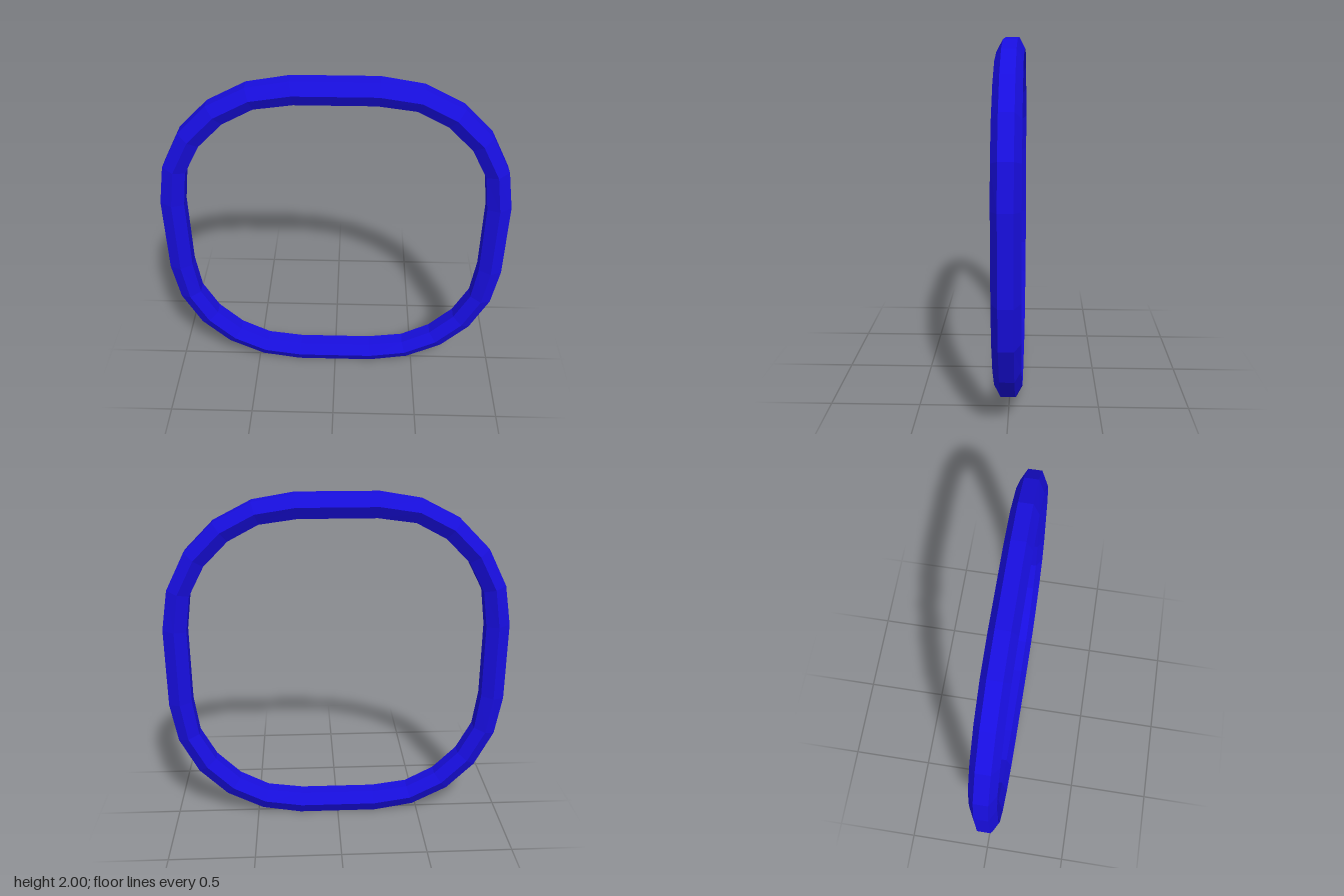
import * as THREE from 'three';

// Corner outlines of one quarter, from the right side round to the top
const OUTER = [[1, 0.235], [0.96, 0.47], [0.85, 0.685], [0.685, 0.85], [0.47, 0.96], [0.235, 1]];
const INNER = [[0.865, 0.22], [0.836, 0.433], [0.745, 0.605], [0.605, 0.745], [0.433, 0.836], [0.22, 0.865]];

// Hexagonal section: blend from inner (0) to outer (1), and depth z
const SECTION = [[1, -0.039], [1, 0.039], [0.5, 0.075], [0, 0.039], [0, -0.039], [0.5, -0.075]];

// Turn a quarter outline into the full closed loop
function fullLoop(quarter) {
  const loop = [];
  for (let q = 0; q < 4; q++) {
    for (const [x, y] of quarter) {
      loop.push([[x, y], [-y, x], [-x, -y], [y, -x]][q]);
    }
  }
  return loop;
}

// Sweep the hexagonal section round the loop
function ringGeometry() {
  const outer = fullLoop(OUTER), inner = fullLoop(INNER);
  const n = outer.length, m = SECTION.length;
  const positions = [], indices = [];
  for (let i = 0; i < n; i++) {
    for (const [t, z] of SECTION) {
      positions.push(
        THREE.MathUtils.lerp(inner[i][0], outer[i][0], t),
        1 + THREE.MathUtils.lerp(inner[i][1], outer[i][1], t),
        z
      );
    }
    for (let j = 0; j < m; j++) {
      const next = ((i + 1) % n) * m, k = (j + 1) % m;
      const a = i * m + j, b = next + j, c = next + k, d = i * m + k;
      indices.push(a, b, c, a, c, d);
    }
  }
  const geometry = new THREE.BufferGeometry();
  geometry.setAttribute('position', new THREE.Float32BufferAttribute(positions, 3));
  geometry.setIndex(indices);
  const flat = geometry.toNonIndexed();
  flat.computeVertexNormals();
  return flat;
}

export function createModel() {
  const group = new THREE.Group();
  group.name = 'roundedSquareRing';
  const material = new THREE.MeshStandardMaterial({ color: 0x180ee0, flatShading: true });
  const ring = new THREE.Mesh(ringGeometry(), material);
  ring.name = 'ring';
  group.add(ring);
  return group;
}
